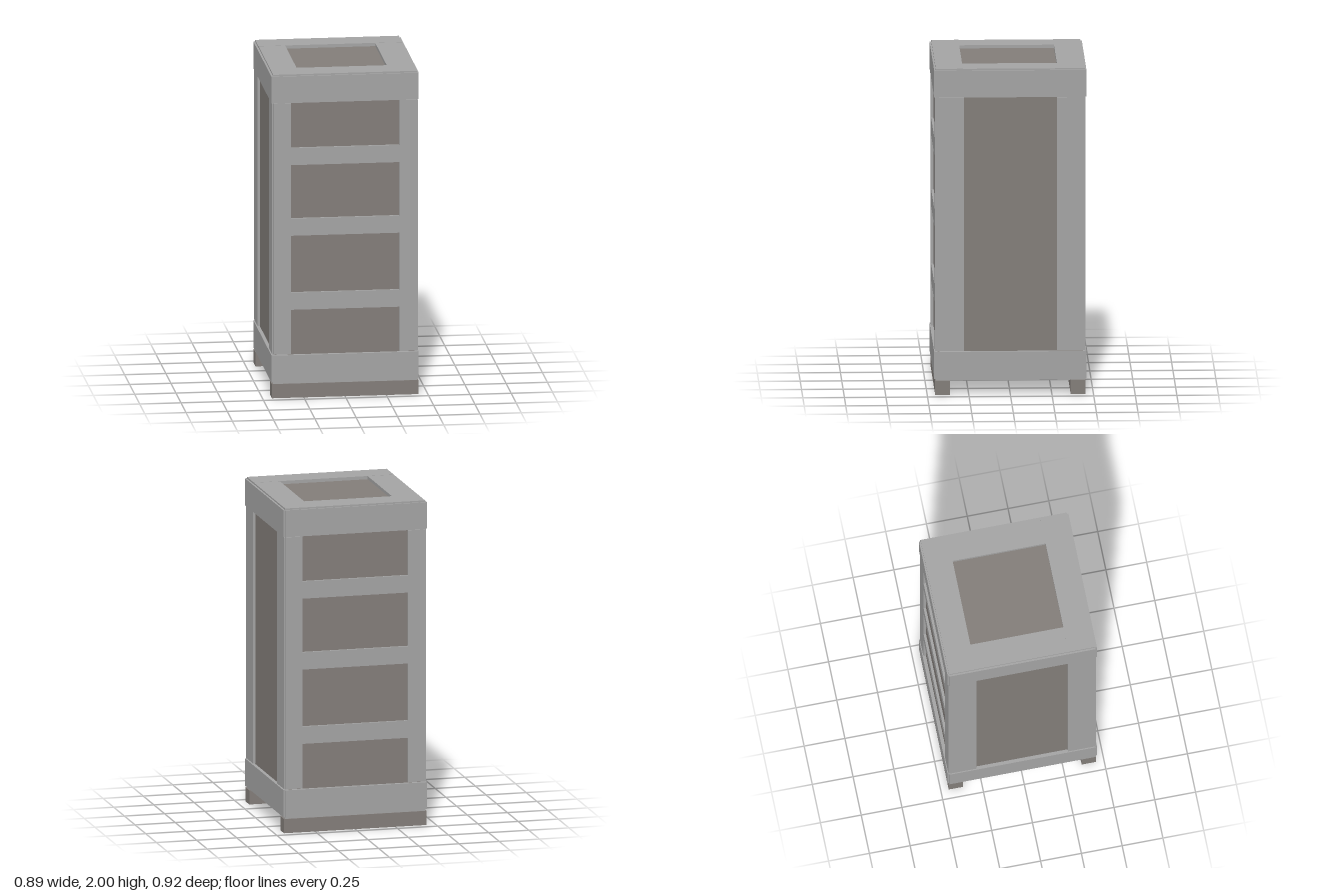
import * as THREE from 'three';

export function createModel() {
  const crate = new THREE.Group();
  crate.name = 'crate';

  const frameGrey = new THREE.MeshStandardMaterial({ color: 0xa3a3a3 });
  frameGrey.name = 'frame grey';
  const panelBrown = new THREE.MeshStandardMaterial({ color: 0x827d79 });
  panelBrown.name = 'panel brown grey';

  // Box given by its limits on each axis
  function block(name, material, [x0, x1], [y0, y1], [z0, z1]) {
    const mesh = new THREE.Mesh(new THREE.BoxGeometry(x1 - x0, y1 - y0, z1 - z0), material);
    mesh.position.set((x0 + x1) / 2, (y0 + y1) / 2, (z0 + z1) / 2);
    mesh.name = name;
    crate.add(mesh);
  }
  // Interval from a to b on the positive or negative side
  const side = (s, a, b) => (s > 0 ? [a, b] : [-b, -a]);

  // Recessed panels
  block('panelCore', panelBrown, [-0.425, 0.425], [0.105, 1.98], [-0.437, 0.437]);

  const bands = [['bottomBand', 0.097, 0.265], ['topBand', 1.825, 1.99]];
  for (const s of [-1, 1]) {
    // Front and back faces: bands, stiles and three slats
    for (const [name, y0, y1] of bands) {
      block(name, frameGrey, [-0.437, 0.437], [y0, y1], side(s, 0.43, 0.458));
      block(name + 'Side', frameGrey, side(s, 0.42, 0.446), [y0, y1], [-0.449, 0.449]);
    }
    for (const t of [-1, 1]) {
      block('faceStile', frameGrey, side(t, 0.328, 0.435), [0.27, 1.822], side(s, 0.43, 0.453));
      block('sideStile', frameGrey, side(s, 0.42, 0.441), [0.27, 1.822], side(t, 0.28, 0.447));
    }
    for (const y of [0.597, 1.055, 1.492]) {
      block('slat', frameGrey, [-0.33, 0.33], [y - 0.053, y + 0.053], side(s, 0.43, 0.452));
    }

    // Lid and floor frames
    for (const [name, y0, y1] of [['lid', 1.975, 2], ['floor', 0.087, 0.11]]) {
      block(name + 'Rail', frameGrey, [-0.435, 0.435], [y0, y1], side(s, 0.285, 0.448));
      block(name + 'Stile', frameGrey, side(s, 0.273, 0.434), [y0 + 0.001, y1 - 0.001], [-0.286, 0.286]);
    }

    // Skid runners
    block('skid', panelBrown, [-0.443, 0.443], [0, 0.087], side(s, 0.363, 0.452));
  }
  return crate;
}
